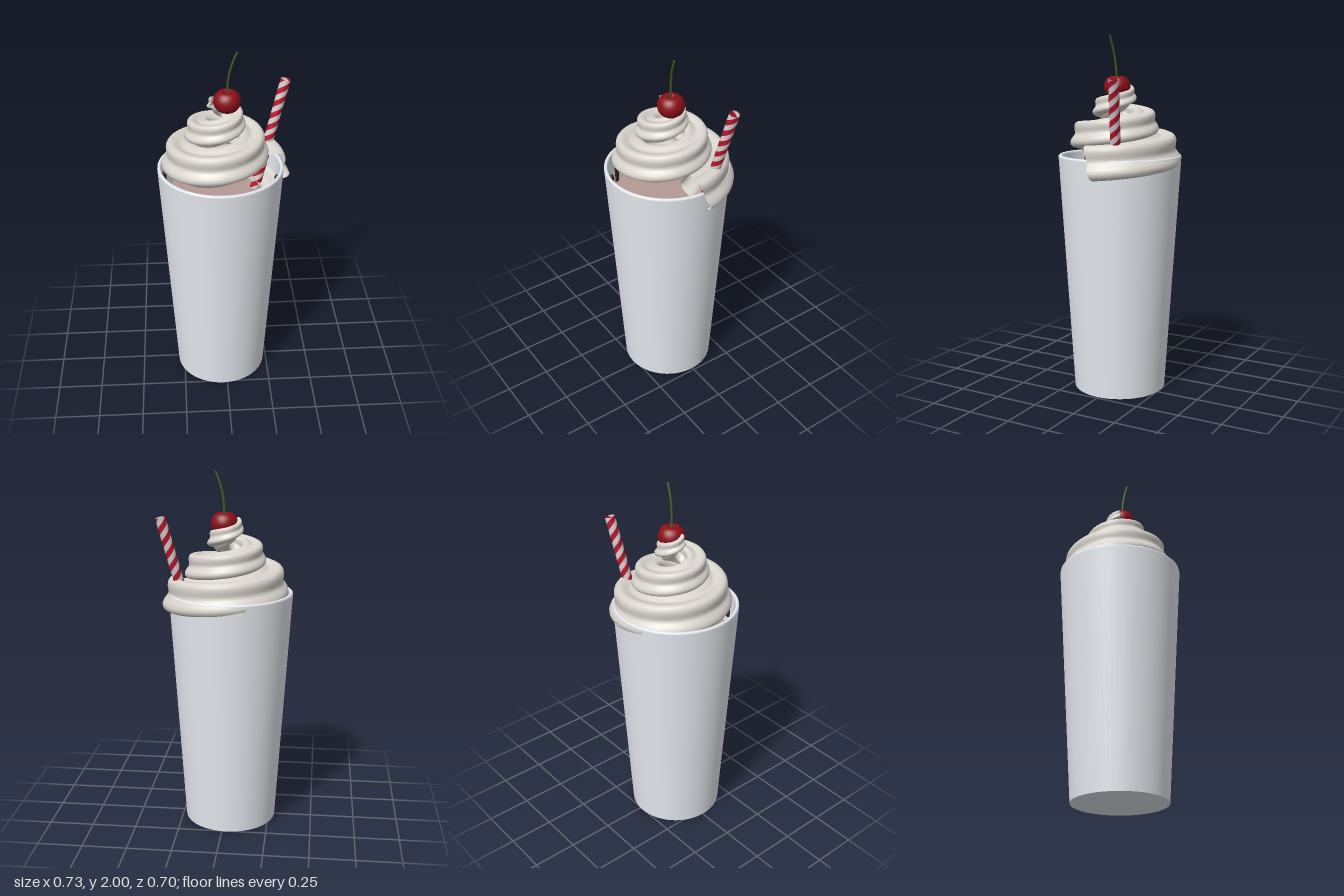
import * as THREE from 'three';
import { ParametricGeometry } from 'three/addons/geometries/ParametricGeometry.js';

const TAU = Math.PI * 2;
const CX = -0.025, CZ = 0.005; // axis of the cup

const paint = (color) => new THREE.MeshStandardMaterial({ color, side: THREE.DoubleSide });
const points = (list) => list.map(([x, y]) => new THREE.Vector2(x, y));

function add(parent, name, geometry, material, x = 0, y = 0, z = 0) {
  const mesh = new THREE.Mesh(geometry, material);
  mesh.name = name;
  mesh.position.set(x, y, z);
  parent.add(mesh);
  return mesh;
}

// Star-shaped section swept up a shrinking spiral
function creamGeometry() {
  const turns = 2.55;
  return new ParametricGeometry((u, v, out) => {
    const t = u * turns;
    const size = 0.135 - 0.036 * t;
    const path = 0.38 - 0.125 * t - 0.93 * size;
    const a = v * TAU;
    const r = size * (0.86 + 0.14 * Math.cos(5 * (a + 0.38)));
    const rise = r * Math.sin(a);
    const reach = path + r * Math.cos(a);
    const angle = t * TAU - 0.9 * rise;
    out.set(reach * Math.cos(angle), 1.31 + 0.16 * t + rise, -reach * Math.sin(angle));
  }, 150, 50);
}

// One helical quarter of the straw wall
function stripeGeometry(start, length) {
  return new ParametricGeometry((u, v, out) => {
    const a = start + u * TAU / 4 + v * length / 0.14 * TAU;
    out.set(0.028 * Math.cos(a), v * length, -0.028 * Math.sin(a));
  }, 6, 70);
}

export function createModel() {
  const model = new THREE.Group();
  const glass = paint(0xe6ebf0), cream = paint(0xd9d4cd), shake = paint(0xb59a94);
  const chocolate = paint(0x3a1a0c), red = paint(0xb8152c), white = paint(0xd8cfcf);
  const cherryRed = paint(0x8c0f18), green = paint(0x45581c);

  // Tapered cup with a rounded rim
  const cup = new THREE.Group();
  cup.name = 'cup';
  cup.position.set(CX, 0, CZ);
  model.add(cup);
  const wall = points([
    [0.26, 0], [0.344, 1.335], [0.343, 1.342], [0.338, 1.347],
    [0.33, 1.347], [0.325, 1.342], [0.323, 1.335], [0.242, 0.04],
  ]);
  add(cup, 'cupWall', new THREE.LatheGeometry(wall, 72), glass);
  add(cup, 'cupBase', new THREE.CircleGeometry(0.26, 72), glass).rotation.x = Math.PI / 2;

  // Drink surface inside the cup
  add(cup, 'milkshake', new THREE.CircleGeometry(0.311, 72), shake, 0, 1.15, 0)
    .rotation.x = -Math.PI / 2;

  // Chocolate drips down the inner wall
  for (let i = 0; i < 10; i++) {
    const a = 0.69 + i * TAU / 10;
    const drip = add(cup, 'chocolateDrip', new THREE.CapsuleGeometry(0.015, 0.1, 4, 10), chocolate,
      0.308 * Math.cos(a), 1.22 + 0.02 * (i % 3), 0.308 * Math.sin(a));
    drip.scale.set(0.8, 1, 0.8);
  }

  // Whipped cream swirl
  add(model, 'whippedCream', creamGeometry(), cream, CX, 0, CZ);

  // Leaning striped straw
  const from = new THREE.Vector3(0.163, 1.1, -0.082);
  const lean = new THREE.Vector3(0.335, 1.77, -0.155).sub(from);
  const straw = new THREE.Group();
  straw.name = 'straw';
  straw.position.copy(from);
  straw.quaternion.setFromUnitVectors(new THREE.Vector3(0, 1, 0), lean.clone().normalize());
  model.add(straw);
  for (let i = 0; i < 4; i++) {
    add(straw, 'strawStripe', stripeGeometry(i * TAU / 4, lean.length()), i % 2 ? white : red);
  }

  // Cherry with a dimple at the stem
  const cherry = points([
    [0, -0.056], [0.025, -0.056], [0.048, -0.047], [0.065, -0.028], [0.073, 0],
    [0.068, 0.027], [0.054, 0.048], [0.036, 0.058], [0.02, 0.056], [0.008, 0.045], [0, 0.042],
  ]);
  const cherryCurve = new THREE.SplineCurve(cherry).getPoints(40);
  cherryCurve[0].x = cherryCurve[40].x = 0;
  add(model, 'cherry', new THREE.LatheGeometry(cherryCurve, 40), cherryRed, 0.01, 1.72, 0.004);

  // Curved stem
  const stem = new THREE.CatmullRomCurve3([
    new THREE.Vector3(0.01, 1.755, 0.004), new THREE.Vector3(0.015, 1.84, 0.009),
    new THREE.Vector3(0.031, 1.92, 0.015), new THREE.Vector3(0.06, 1.998, 0.021),
  ]);
  add(model, 'cherryStem', new THREE.TubeGeometry(stem, 24, 0.006, 10), green);
  add(model, 'stemTip', new THREE.SphereGeometry(0.006, 10, 6), green, 0.06, 1.995, 0.021);

  return model;
}
